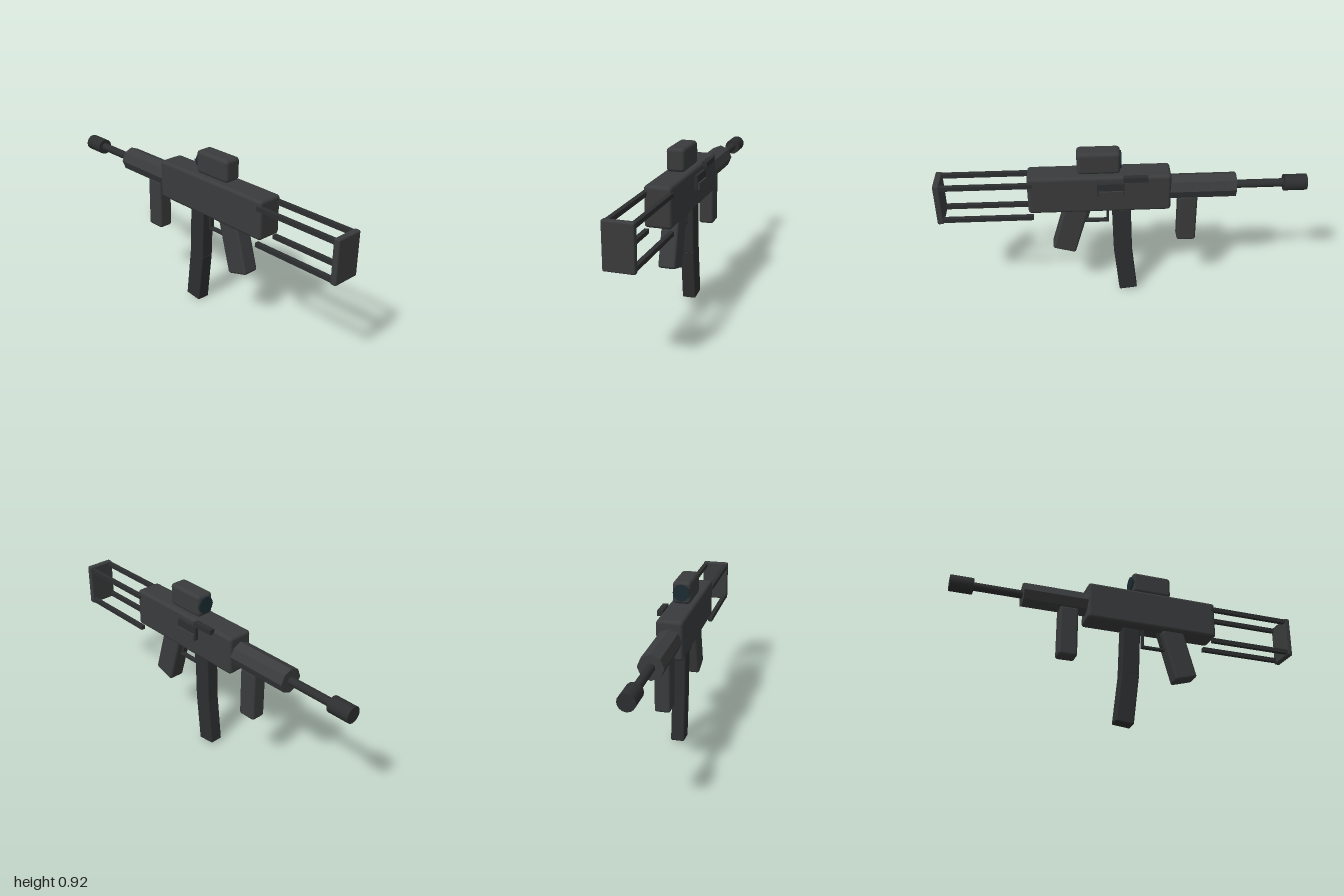
import * as THREE from 'three';
import { RoundedBoxGeometry } from 'three/addons/geometries/RoundedBoxGeometry.js';

const CX = -0.01; // centre line of the body
const paint = (color) => new THREE.MeshStandardMaterial({ color });

export function createModel() {
  const model = new THREE.Group();
  model.name = 'model';
  const body = paint(0x3a3b3c);
  const dark = paint(0x2d2e2f);
  const glass = paint(0x1c2c33);

  const add = (name, geometry, material, x, y, z, tilt = 0) => {
    const mesh = new THREE.Mesh(geometry, material);
    mesh.name = name;
    mesh.position.set(x, y, z);
    mesh.rotation.x = tilt;
    model.add(mesh);
    return mesh;
  };
  const box = (name, size, pos, material = body, tilt = 0) =>
    add(name, new THREE.BoxGeometry(...size), material, ...pos, tilt);
  const rounded = (name, size, radius, pos, tilt = 0, material = body) =>
    add(name, new RoundedBoxGeometry(...size, 3, radius), material, ...pos, tilt);
  // Cylinder lying along z between two ends
  const tube = (name, radius, z0, z1, y, sides, material) => {
    const geometry = new THREE.CylinderGeometry(radius, radius, Math.abs(z1 - z0), sides);
    geometry.rotateX(Math.PI / 2);
    return add(name, geometry, material, CX, y, (z0 + z1) / 2);
  };

  // Receiver and optic
  rounded('receiver', [0.145, 0.217, 0.765], 0.018, [CX, 0.683, 0.128]);
  rounded('optic', [0.1, 0.126, 0.23], 0.02, [CX, 0.858, 0.13]);
  tube('opticLens', 0.047, 0.03, 0.009, 0.86, 12, glass);

  // Handguard, barrel and muzzle
  const handguardMaterial = body.clone();
  handguardMaterial.flatShading = true;
  tube('handguard', 0.068, -0.24, -0.61, 0.683, 8, handguardMaterial);
  tube('barrel', 0.023, -0.6, -0.89, 0.683, 16, dark);
  tube('muzzle', 0.045, -0.876, -1, 0.683, 16, dark);

  // Grips
  rounded('foregrip', [0.085, 0.29, 0.105], 0.014, [CX, 0.49, -0.352]);
  rounded('pistolGrip', [0.095, 0.3, 0.132], 0.014, [CX, 0.447, 0.29], -0.28);

  // Curved magazine in two sections
  rounded('magazineUpper', [0.076, 0.275, 0.102], 0.008, [CX, 0.424, 0.005], 0.03, dark);
  rounded('magazineLower', [0.076, 0.292, 0.102], 0.008, [CX, 0.15, -0.014], 0.11, dark);

  // Trigger and guard
  box('triggerGuardFront', [0.025, 0.11, 0.012], [CX, 0.525, 0.084], dark);
  box('triggerGuardBottom', [0.025, 0.012, 0.15], [CX, 0.475, 0.153], dark);
  box('trigger', [0.018, 0.085, 0.018], [CX, 0.535, 0.19], dark, -0.28);

  // Skeleton stock: four rods and a butt plate
  for (const x of [-0.076, 0.055]) {
    box('stockRodTop', [0.024, 0.024, 0.5], [x, 0.75, 0.735], dark);
    box('stockRodBottom', [0.024, 0.024, 0.5], [x, 0.551, 0.735], dark);
  }
  rounded('buttPlate', [0.158, 0.24, 0.034], 0.008, [CX, 0.65, 0.983]);

  // Ejection cover and charging handle on the left side
  box('ejectionPort', [0.03, 0.075, 0.145], [0.064, 0.721, 0.068], dark);
  box('ejectionCover', [0.01, 0.038, 0.13], [0.083, 0.698, 0.068]);
  box('chargingHandle', [0.03, 0.028, 0.128], [0.073, 0.785, -0.064], dark);

  return model;
}
